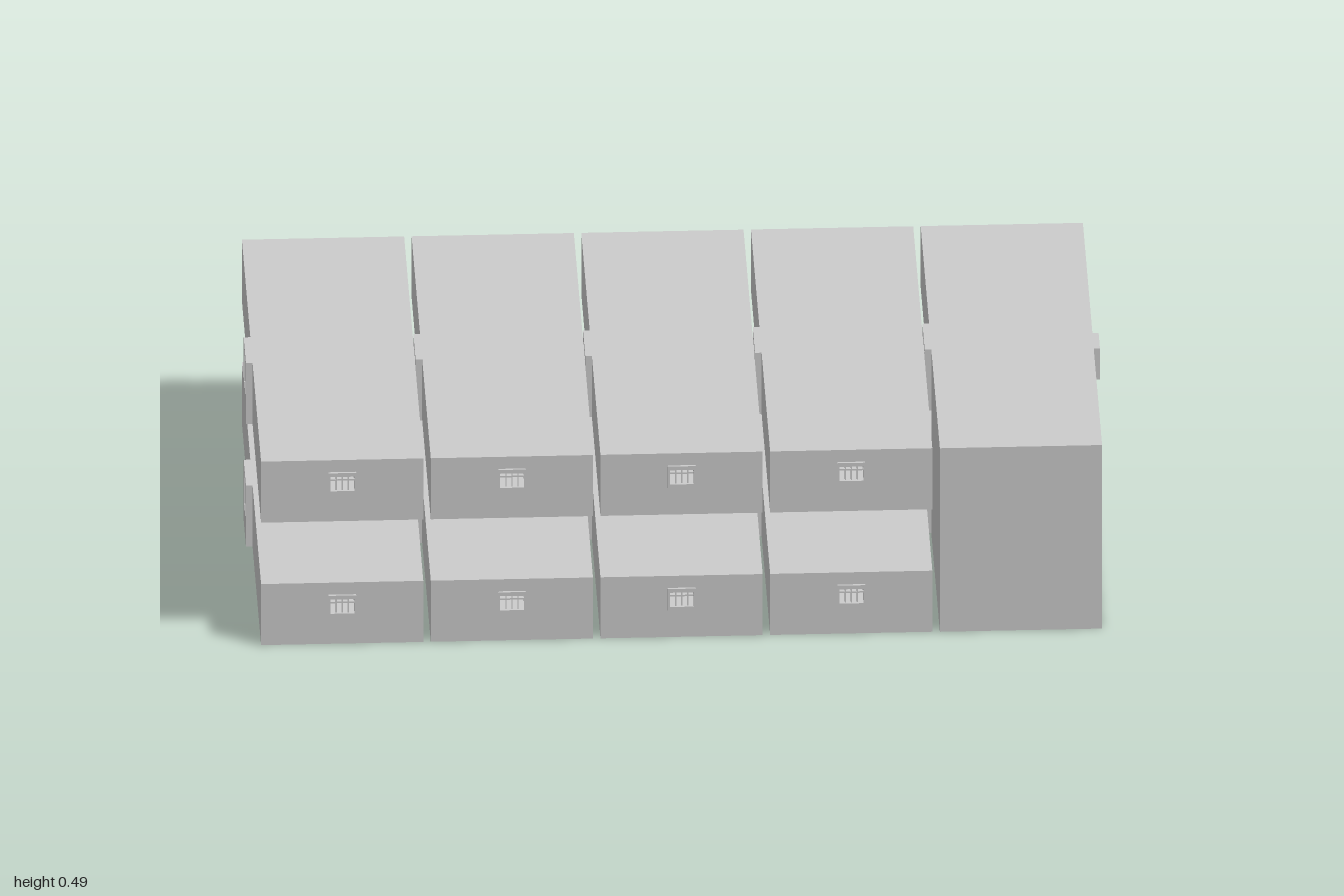
import * as THREE from 'three';

const material = new THREE.MeshStandardMaterial({ color: 0xcccccc, flatShading: true });
const DEPTH = 1.08, HEIGHT = 0.163, WIDTH = 0.38, PITCH = 0.3975;
const FIRST_X = -0.795, LEVELS = [0, 0.327];
const WINDOW_Y = 0.108;

function add(parent, name, geometry, x = 0, y = 0, z = 0) {
  const mesh = new THREE.Mesh(geometry, material);
  mesh.name = name;
  mesh.position.set(x, y, z);
  parent.add(mesh);
  return mesh;
}

const corners = (w, h, y = 0) => [[-w / 2, y - h / 2], [w / 2, y - h / 2], [w / 2, y + h / 2], [-w / 2, y + h / 2]]
  .map(([a, b]) => new THREE.Vector2(a, b));

// Rectangular plate with a rectangular hole, extruded along z
function ring(w, h, holeW, holeH, depth, holeY = 0) {
  const shape = new THREE.Shape(corners(w, h));
  shape.holes.push(new THREE.Path(corners(holeW, holeH, holeY).reverse()));
  return new THREE.ExtrudeGeometry(shape, { depth, bevelEnabled: false });
}

// Protruding barred window, facing +z
function createWindow() {
  const g = new THREE.Group();
  g.name = 'window';
  add(g, 'windowFrame', ring(0.064, 0.046, 0.056, 0.038, 0.018), 0, 0, -0.002);
  add(g, 'windowLip', ring(0.066, 0.058, 0.056, 0.038, 0.002), 0, 0, 0.0145);
  for (const x of [-0.014, 0, 0.014]) {
    add(g, 'windowBar', new THREE.BoxGeometry(0.003, 0.04, 0.006), x, 0, 0.008);
  }
  add(g, 'windowTransom', new THREE.BoxGeometry(0.058, 0.004, 0.006), 0, 0.008, 0.008);
  return g;
}

// One slab section: pierced body, socket on the -x end, plug on the +x end
function createSection(hasFrontWindow) {
  const g = new THREE.Group();
  g.name = 'section';
  add(g, 'sectionBody', ring(WIDTH, HEIGHT, 0.058, 0.04, DEPTH, WINDOW_Y - HEIGHT / 2), 0, HEIGHT / 2, -DEPTH / 2);

  const socket = add(g, 'socketFrame', ring(0.125, HEIGHT, 0.078, 0.086, 0.0155, 0.021),
    -WIDTH / 2, HEIGHT / 2, -0.003);
  socket.rotation.y = -Math.PI / 2;
  add(g, 'plug', new THREE.BoxGeometry(0.018, 0.082, 0.076), WIDTH / 2 + 0.007, 0.103, 0);

  for (const side of hasFrontWindow ? [1, -1] : [-1]) {
    const win = createWindow();
    win.position.set(0, WINDOW_Y, side * DEPTH / 2);
    if (side < 0) win.rotation.y = Math.PI;
    g.add(win);
  }
  return g;
}

export function createModel() {
  const model = new THREE.Group();
  model.name = 'twoLevelModularBlock';

  // Two levels of five linked sections
  for (const y of LEVELS) {
    const level = new THREE.Group();
    level.name = y ? 'upperLevel' : 'lowerLevel';
    for (let i = 0; i < 5; i++) {
      const section = createSection(i < 4);
      section.position.set(FIRST_X + i * PITCH, y, 0);
      level.add(section);
    }
    model.add(level);
  }

  // Corner tower joining the levels, with a slightly leaning rear wall
  const top = LEVELS[1] + HEIGHT;
  const side = new THREE.Shape([
    [-0.541, 0], [-0.065, 0], [-0.065, HEIGHT], [-0.075, LEVELS[1]], [-0.075, top], [-0.541, top],
  ].map(([z, y]) => new THREE.Vector2(z, y)));
  const tower = add(model, 'cornerTower',
    new THREE.ExtrudeGeometry(side, { depth: WIDTH, bevelEnabled: false }),
    FIRST_X + 4 * PITCH - WIDTH / 2, 0, 0);
  tower.rotation.y = Math.PI / 2;

  return model;
}
